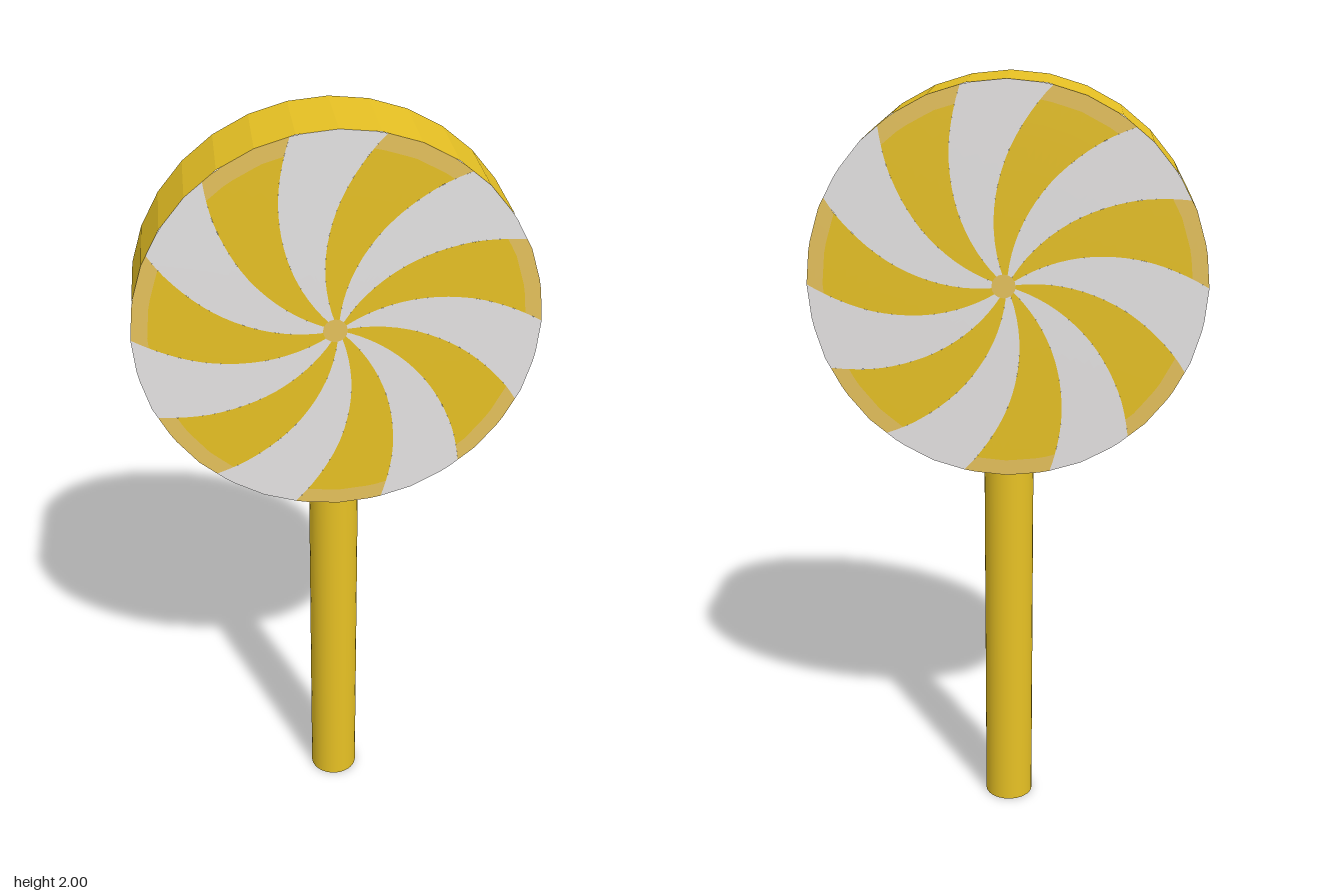
import * as THREE from 'three';

const R = 0.495, DEPTH = 0.235, CENTRE_Y = 1.505, SIDES = 32, ARMS = 7;

const material = (name, color, extra = {}) => {
  const m = new THREE.MeshStandardMaterial({ color, ...extra });
  m.name = name;
  return m;
};

// Distance from the centre to the rim of the many-sided disc at an angle
function rimRadius(a) {
  const step = (Math.PI * 2) / SIDES;
  const local = a - Math.floor(a / step) * step - step / 2;
  return (R * Math.cos(step / 2)) / Math.cos(local);
}

// One curved arm between radius fractions r0 and r1; angles in degrees at the rim
function swirlArm(startDeg, widthDeg, r0, r1, rings) {
  const cols = 8, positions = [], normals = [], index = [];
  for (let i = 0; i <= rings; i++) {
    const t = r0 + ((r1 - r0) * i) / rings;
    for (let j = 0; j <= cols; j++) {
      const deg = startDeg + (widthDeg * j) / cols + 36 * (1 - t);
      const a = THREE.MathUtils.degToRad(deg);
      const r = t * rimRadius(a);
      positions.push(r * Math.cos(a), r * Math.sin(a), 0);
      normals.push(0, 0, 1);
    }
  }
  for (let i = 0; i < rings; i++) {
    for (let j = 0; j < cols; j++) {
      const a = i * (cols + 1) + j, b = a + cols + 1;
      index.push(a, b, b + 1, a, b + 1, a + 1);
    }
  }
  const g = new THREE.BufferGeometry();
  g.setAttribute('position', new THREE.Float32BufferAttribute(positions, 3));
  g.setAttribute('normal', new THREE.Float32BufferAttribute(normals, 3));
  g.setIndex(index);
  return g;
}

export function createModel() {
  const model = new THREE.Group();
  model.name = 'lollipop';

  const yellow = material('yellow', 0xe8c224);
  const yellowFlat = yellow.clone();
  yellowFlat.flatShading = true;
  yellowFlat.name = 'yellowFaceted';
  const white = material('white', 0xe6e4e4);
  const tan = material('paleYellow', 0xe6c25c);

  const add = (parent, name, geometry, mat) => {
    const mesh = new THREE.Mesh(geometry, mat);
    mesh.name = name;
    parent.add(mesh);
    return mesh;
  };

  // Stick
  const stick = add(model, 'stick', new THREE.CylinderGeometry(0.065, 0.065, 1.03, 32), yellow);
  stick.position.y = 0.515;

  // Candy edge, closed by the swirl faces
  const candy = new THREE.Group();
  candy.name = 'candy';
  candy.position.y = CENTRE_Y;
  model.add(candy);
  const edge = add(candy, 'candyEdge', new THREE.CylinderGeometry(R, R, DEPTH, SIDES, 1, true), yellowFlat);
  edge.rotation.x = Math.PI / 2;

  // The same swirl on front and back
  for (const side of ['front', 'back']) {
    const face = new THREE.Group();
    face.name = side + 'Swirl';
    const pitch = 360 / ARMS;
    for (let k = 0; k < ARMS; k++) {
      const start = -90 - pitch / 4 + k * pitch;
      add(face, 'yellowArm', swirlArm(start, pitch / 2, 0, 0.92, 16), yellow);
      add(face, 'armTip', swirlArm(start, pitch / 2, 0.92, 1, 2), tan);
      add(face, 'whiteArm', swirlArm(start + pitch / 2, pitch / 2, 0, 1, 18), white);
    }
    const hub = add(face, 'swirlHub', new THREE.CircleGeometry(0.03, 16), tan);
    hub.position.set(-0.008, 0, 0.001);
    face.position.z = (side === 'front' ? 1 : -1) * DEPTH / 2;
    if (side === 'back') face.rotation.y = Math.PI;
    candy.add(face);
  }

  return model;
}
